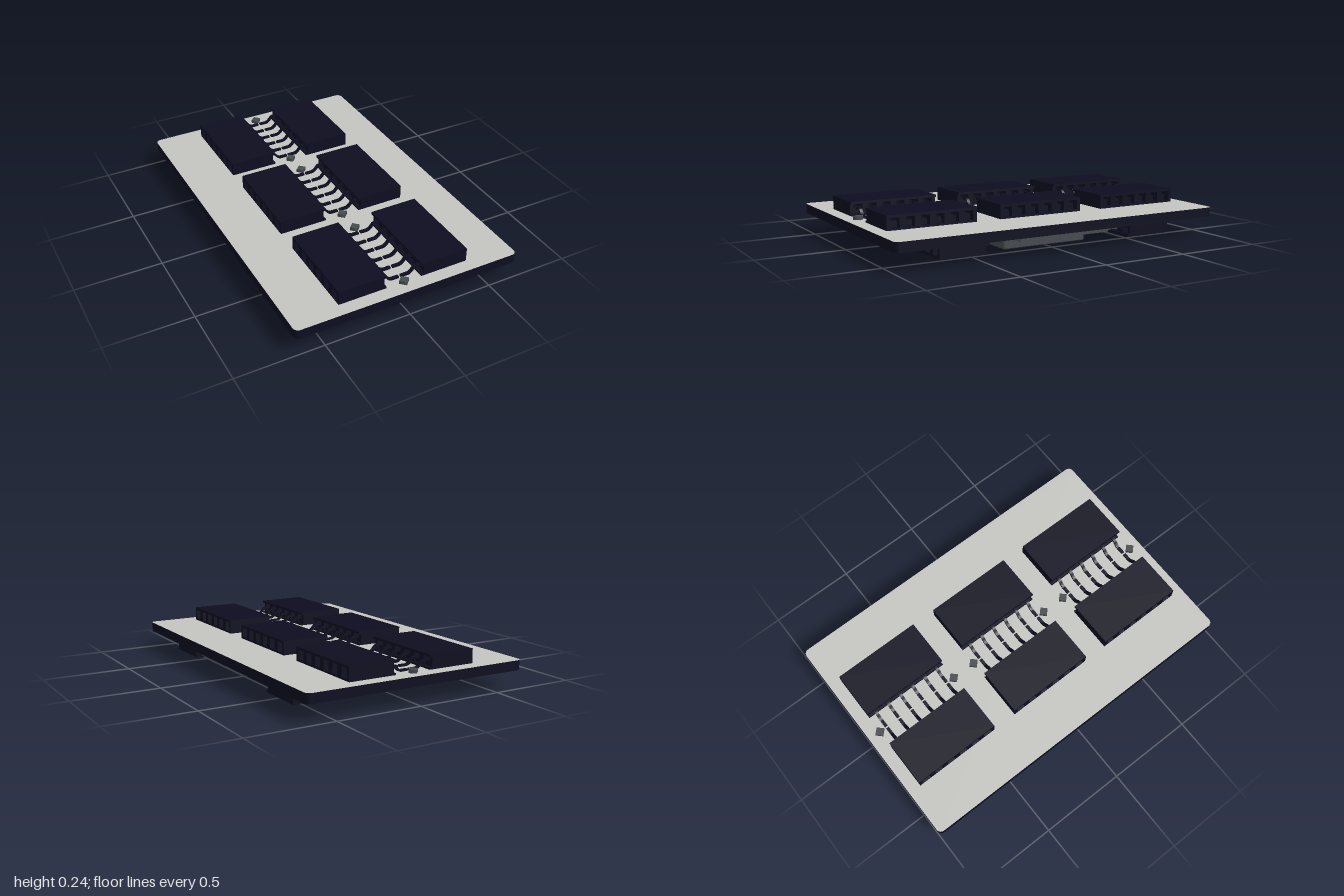
import * as THREE from 'three';

const navy = new THREE.MeshStandardMaterial({ name: 'navy plastic', color: 0x0d0d20 });
const pale = new THREE.MeshStandardMaterial({ name: 'pale board face', color: 0xc4c4c0, side: THREE.DoubleSide });
const gray = new THREE.MeshStandardMaterial({ name: 'slate gray', color: 0x464b4e });

function mesh(parent, name, geometry, material) {
  const m = new THREE.Mesh(geometry, material);
  m.name = name;
  parent.add(m);
  return m;
}

// Box given by its limits on each axis
function box(parent, name, material, x0, x1, y0, y1, z0, z1) {
  const m = mesh(parent, name, new THREE.BoxGeometry(x1 - x0, y1 - y0, z1 - z0), material);
  m.position.set((x0 + x1) / 2, (y0 + y1) / 2, (z0 + z1) / 2);
  return m;
}

function roundedRect(w, h, r) {
  const s = new THREE.Shape();
  s.absarc(w - r, h - r, r, 0, Math.PI / 2);
  s.absarc(-w + r, h - r, r, Math.PI / 2, Math.PI);
  s.absarc(-w + r, -h + r, r, Math.PI, Math.PI * 1.5);
  s.absarc(w - r, -h + r, r, Math.PI * 1.5, Math.PI * 2);
  s.closePath();
  return s;
}

// Cranked contact: leaves the body, dips, and lies flat on the board
function leadGeometry() {
  const s = new THREE.Shape();
  s.moveTo(0.16, 0.036);
  s.lineTo(0.16, 0.047);
  s.lineTo(0.098, 0.047);
  s.quadraticCurveTo(0.086, 0.046, 0.078, 0.036);
  s.quadraticCurveTo(0.062, 0.014, 0.048, 0.012);
  s.lineTo(0.006, 0.012);
  s.lineTo(0.006, 0.001);
  s.lineTo(0.05, 0.001);
  s.quadraticCurveTo(0.068, 0.004, 0.084, 0.026);
  s.quadraticCurveTo(0.09, 0.036, 0.1, 0.036);
  s.closePath();
  const g = new THREE.ExtrudeGeometry(s, { depth: 0.018, bevelEnabled: false, curveSegments: 4 });
  return g.translate(0, 0, -0.009);
}

// Six-way socket housing: local x points outward, y away from the board
function connector() {
  const g = new THREE.Group();
  g.name = 'connector';
  const half = 0.26, pitch = 0.085, lead = leadGeometry();
  box(g, 'housingRoof', navy, 0.105, 0.385, 0.066, 0.08, -half, half);
  box(g, 'housingFloor', navy, 0.105, 0.385, -0.003, 0.01, -half, half);
  for (const s of [-1, 1]) {
    const z0 = s * 0.24, z1 = s * half;
    box(g, 'endWall', navy, 0.12, 0.385, 0, 0.08, Math.min(z0, z1), Math.max(z0, z1));
    const d = mesh(g, 'locatingPeg', new THREE.CylinderGeometry(0.03, 0.03, 0.02, 4), gray);
    d.position.set(0, 0.01, s * half);
  }
  for (let i = 0; i < 6; i++) {
    const z = (i - 2.5) * pitch;
    if (i < 5) box(g, 'cellWall', navy, 0.12, 0.385, 0.005, 0.07, z + 0.025, z + 0.06);
    box(g, 'contactBlock', navy, 0.13, 0.35, 0.005, 0.036, z - 0.025, z + 0.025);
    box(g, 'contactBlade', navy, 0.13, 0.36, 0.034, 0.045, z - 0.018, z + 0.018);
    mesh(g, 'contactLead', lead, navy).position.z = z;
  }
  return g;
}

export function createModel() {
  const root = new THREE.Group();
  root.name = 'circuitBoard';

  // Open-bottomed board: rim and top sheet
  const rim = roundedRect(0.665, 1, 0.03);
  rim.holes.push(new THREE.Path(roundedRect(0.66, 0.995, 0.026).getPoints(6).reverse()));
  const wall = new THREE.ExtrudeGeometry(rim, { depth: 0.054, bevelEnabled: false, curveSegments: 6 });
  const edge = mesh(root, 'boardRim', wall.rotateX(-Math.PI / 2), navy);
  edge.position.y = 0.105;
  const sheet = mesh(root, 'boardSheet', new THREE.ShapeGeometry(roundedRect(0.665, 1, 0.03), 6).rotateX(-Math.PI / 2), pale);
  sheet.position.y = 0.16;

  // Three facing pairs of connectors on top
  for (const z of [-0.666, -0.002, 0.664]) {
    for (const turn of [0, Math.PI]) {
      const c = connector();
      c.name = 'topConnector';
      c.position.set(0, 0.16, z);
      c.rotation.y = turn;
      root.add(c);
    }
  }

  // Two connectors along each short end underneath, leads facing inward
  for (const s of [1, -1]) {
    const basis = new THREE.Matrix4().makeBasis(
      new THREE.Vector3(0, 0, s), new THREE.Vector3(0, -1, 0), new THREE.Vector3(s, 0, 0));
    for (const x of [-0.335, 0.33]) {
      const c = connector();
      c.name = 'bottomConnector';
      c.quaternion.setFromRotationMatrix(basis);
      c.position.set(x, 0.107, s * 0.345);
      root.add(c);
    }
  }

  // Processor: carrier plate with pins, and the thick block below it
  const chip = new THREE.Group();
  chip.name = 'processor';
  root.add(chip);
  box(chip, 'carrierPlate', gray, -0.2, 0.63, 0.08, 0.107, -0.28, 0.28);
  const block = new THREE.ExtrudeGeometry(roundedRect(0.287, 0.259, 0.008),
    { depth: 0.072, bevelEnabled: true, bevelThickness: 0.005, bevelSize: 0.005, bevelSegments: 1, curveSegments: 2 });
  mesh(chip, 'heatBlock', block.rotateX(-Math.PI / 2), gray).position.set(0.138, 0.005, 0);
  for (let i = 0; i < 32; i++) {
    const x = -0.19 + i * 0.026;
    for (const s of [-1, 1]) {
      const pin = box(chip, 'pin', gray, x - 0.006, x + 0.006, 0.088, 0.105, -0.0175, 0.0175);
      pin.position.z = s * 0.29;
    }
  }

  // Rows of small components beside the processor
  for (const z of [-0.15, 0.27]) {
    for (let i = 0; i < 5; i++) {
      const x = -0.59 + i * 0.05;
      box(root, 'smallComponent', gray, x - 0.018, x + 0.018, 0.082, 0.107, z - 0.035, z + 0.035);
    }
  }
  for (let i = 0; i < 5; i++) {
    const z = -0.05 + i * 0.06;
    box(root, 'tinyComponent', navy, -0.37, -0.35, 0.095, 0.107, z - 0.01, z + 0.01);
  }
  return root;
}
